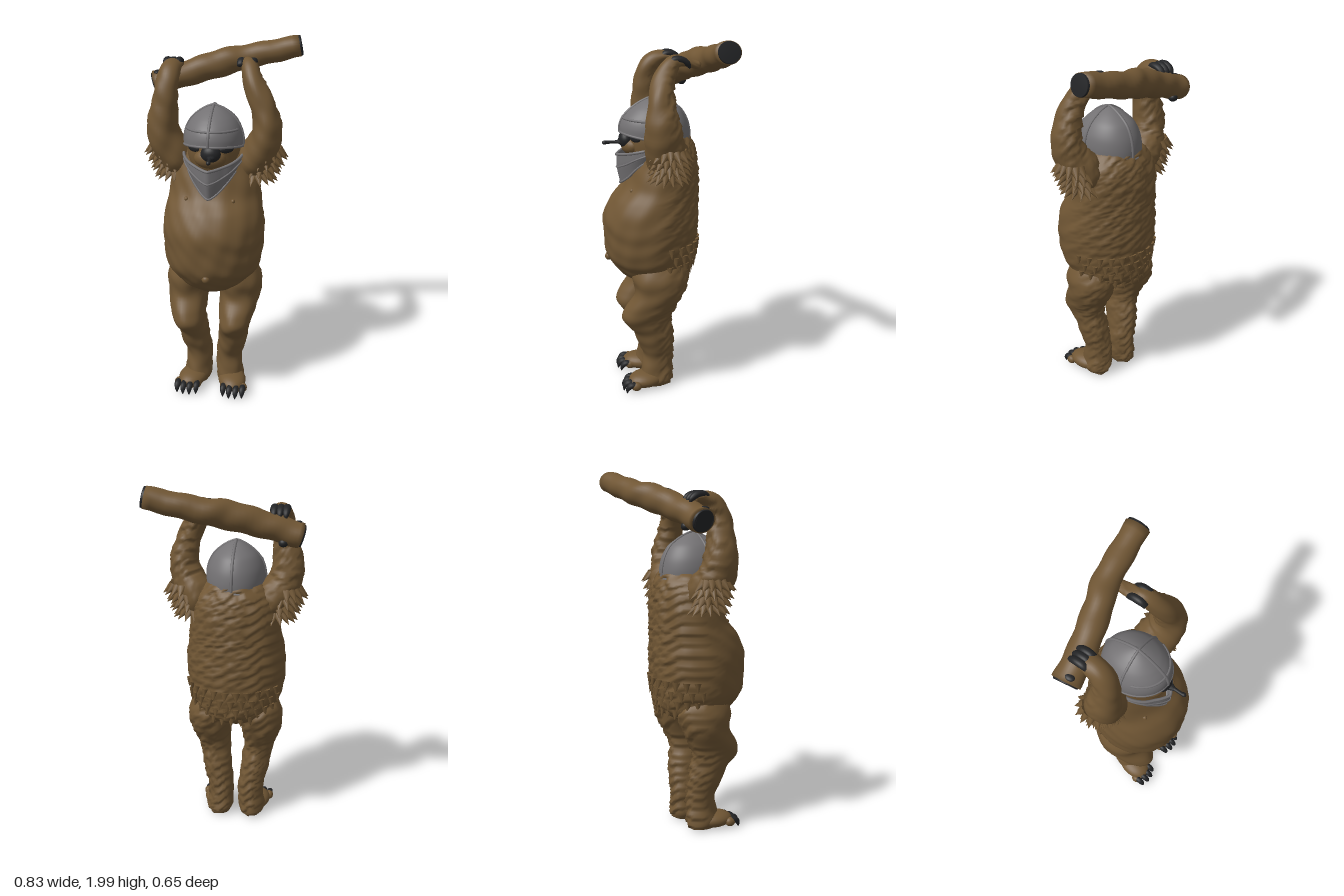
import * as THREE from 'three';

const V = (x, y, z) => new THREE.Vector3(x, y, z);
const MID = -0.035; // symmetry plane of the animal
const mirror = x => 2 * MID - x;

const mat = (name, color, side = THREE.FrontSide) => {
  const m = new THREE.MeshStandardMaterial({ color, side });
  m.name = name;
  return m;
};

// Smooth closed sweep through rings [x, y, z, radiusU, radiusV]; flat keeps rings level
function sweep(rings, { ref = V(1, 0, 0), flat = false, n = 32, steps = 5, rule } = {}) {
  const path = new THREE.CatmullRomCurve3(rings.map(r => V(r[0], r[1], r[2])), false, 'catmullrom');
  const size = new THREE.CatmullRomCurve3(rings.map(r => V(r[3], r[4], 0)), false, 'catmullrom');
  const rows = (rings.length - 1) * steps, pos = [], idx = [];
  for (let i = 0; i <= rows; i++) {
    const c = path.getPoint(i / rows), s = size.getPoint(i / rows);
    const t = flat ? V(0, 1, 0) : path.getTangent(i / rows);
    const u = ref.clone().addScaledVector(t, -ref.dot(t)).normalize();
    const v = t.clone().cross(u);
    for (let j = 0; j < n; j++) {
      const a = j / n * Math.PI * 2;
      const d = u.clone().multiplyScalar(Math.cos(a) * s.x).addScaledVector(v, Math.sin(a) * s.y);
      const p = c.clone().add(d);
      if (rule) rule(p, d.normalize());
      pos.push(p.x, p.y, p.z);
      if (i < rows) {
        const k = (j + 1) % n, A = i * n + j, B = i * n + k;
        idx.push(A, B, B + n, A, B + n, A + n);
      }
    }
  }
  [0, rows].forEach(i => { // end caps
    const c = path.getPoint(i / rows), o = pos.length / 3;
    if (rule) rule(c, V(0, 0, 0));
    pos.push(c.x, c.y, c.z);
    for (let j = 0; j < n; j++) {
      const A = i * n + j, B = i * n + (j + 1) % n;
      idx.push(...(i ? [o, A, B] : [o, B, A]));
    }
  });
  const g = new THREE.BufferGeometry();
  g.setAttribute('position', new THREE.Float32BufferAttribute(pos, 3));
  g.setIndex(idx);
  g.computeVertexNormals();
  return g;
}

// Shaggy surface: soft lumps everywhere, overlapping locks towards the back
function fur(p, d) {
  const lumps = Math.sin(p.x * 47 + p.y * 21) * Math.sin(p.y * 38 + p.z * 33) * 0.004;
  const lock = p.y * 17 + Math.sin(p.x * 45 + p.z * 30) * 0.5;
  const shag = (0.5 - (lock - Math.floor(lock))) * 0.016 * Math.max(0, 0.15 - d.z);
  p.addScaledVector(d, lumps + shag);
}

export function createModel() {
  const brown = mat('brown fur', 0x705634);
  const grey = mat('grey armour', 0x737173, THREE.DoubleSide);
  const black = mat('black claw', 0x232426);
  const model = new THREE.Group();
  model.name = 'armouredBearWithBranch';

  const add = (name, geo, m) => {
    const mesh = new THREE.Mesh(geo, m);
    mesh.name = name;
    model.add(mesh);
    return mesh;
  };
  const ball = (name, m, p, r, ry = 0) => {
    const b = add(name, new THREE.SphereGeometry(1, 24, 16), m);
    b.position.set(...p);
    b.scale.set(...r);
    b.rotation.y = ry;
  };
  const cone = (name, m, p, dir, r, len, thin = 1) => {
    const c = add(name, new THREE.ConeGeometry(r, len, 8).translate(0, len / 2, 0), m);
    c.position.copy(p);
    c.quaternion.setFromUnitVectors(V(0, 1, 0), dir.normalize());
    c.scale.z = thin;
  };

  // Torso with round belly
  add('torso', sweep([
    [MID, 0.61, 0.05, 0.04, 0.05], [MID, 0.66, 0.045, 0.14, 0.15], [MID, 0.71, 0.04, 0.21, 0.21],
    [MID, 0.8, 0.06, 0.258, 0.25], [MID, 0.92, 0.062, 0.275, 0.26], [MID, 1.02, 0.06, 0.277, 0.262],
    [MID, 1.12, 0.038, 0.264, 0.238], [MID, 1.2, 0.004, 0.252, 0.204], [MID, 1.3, -0.015, 0.24, 0.182],
    [MID, 1.38, -0.025, 0.215, 0.16], [MID, 1.45, -0.025, 0.16, 0.13], [MID, 1.5, -0.02, 0.08, 0.08],
  ], { flat: true, n: 72, steps: 8, rule: fur }), brown);
  ball('navel', brown, [MID, 0.78, 0.3], [0.022, 0.022, 0.02]);
  [0.09, mirror(0.09)].forEach(x => ball('nipple', brown, [x, 1.19, 0.178], [0.012, 0.012, 0.014]));

  // Hanging locks over the rump
  for (let row = 0; row < 4; row++) for (let k = -5; k <= 5; k++) {
    const a = (k + (row % 2) / 2) * 0.24, s = [0.215, 0.237, 0.25, 0.258][row];
    const p = V(MID + Math.sin(a) * s, 0.72 + row * 0.055, 0.05 - Math.cos(a) * (s - 0.012));
    cone('rumpLock', brown, p, V(Math.sin(a) * 0.25, -1, -Math.cos(a) * 0.25), 0.026, 0.055, 0.7);
  }

  // Legs, feet and claws, mirrored
  [1, -1].forEach(side => {
    const X = x => side > 0 ? x : mirror(x);
    add('leg', sweep([
      [X(-0.155), 0.8, 0.03, 0.1, 0.13], [X(-0.172), 0.7, 0.03, 0.13, 0.155], [X(-0.182), 0.6, 0.035, 0.115, 0.135],
      [X(-0.175), 0.51, 0.085, 0.1, 0.14], [X(-0.165), 0.44, 0.105, 0.087, 0.138], [X(-0.15), 0.36, 0.068, 0.083, 0.112],
      [X(-0.14), 0.28, 0.05, 0.08, 0.1], [X(-0.125), 0.2, 0.035, 0.074, 0.085], [X(-0.125), 0.12, 0.04, 0.074, 0.09],
      [X(-0.13), 0.05, 0.045, 0.078, 0.095], [X(-0.13), 0.01, 0.045, 0.06, 0.08],
    ].reverse(), { flat: true, n: 40, steps: 6, rule: fur }), brown);
    ball('foot', brown, [X(-0.15), 0.052, 0.105], [0.08, 0.048, 0.11], -0.25 * side);
    for (let k = 0; k < 4; k++) {
      const x = X(-0.225 + k * 0.037), z = 0.165 + Math.sin((k + 0.5) * 0.8) * 0.025;
      ball('toe', brown, [x, 0.042, z], [0.023, 0.026, 0.03]);
      add('toeClaw', sweep([[x, 0.05, z, 0.017, 0.017], [x, 0.05, z + 0.03, 0.018, 0.018],
        [x, 0.03, z + 0.05, 0.013, 0.013], [x, 0.004, z + 0.055, 0.002, 0.002]], { n: 10 }), black);
    }
  });

  // Raised arms
  add('rightArm', sweep([
    [-0.16, 1.27, -0.02, 0.06, 0.07], [-0.24, 1.37, 0, 0.1, 0.11], [-0.3, 1.47, 0.03, 0.09, 0.1],
    [-0.315, 1.56, 0.04, 0.085, 0.09], [-0.3, 1.66, 0.045, 0.072, 0.075], [-0.288, 1.75, 0.045, 0.062, 0.062],
    [-0.28, 1.825, 0.01, 0.058, 0.052], [-0.275, 1.855, -0.05, 0.054, 0.033], [-0.27, 1.85, -0.11, 0.045, 0.022],
  ], { steps: 6, rule: fur }), brown);
  add('leftArm', sweep([
    [0.09, 1.27, -0.02, 0.06, 0.07], [0.17, 1.37, 0, 0.1, 0.11], [0.23, 1.47, 0.03, 0.088, 0.1],
    [0.247, 1.56, 0.04, 0.076, 0.09], [0.233, 1.64, 0.042, 0.07, 0.076], [0.203, 1.72, 0.04, 0.062, 0.064],
    [0.165, 1.8, 0.015, 0.053, 0.055], [0.14, 1.865, -0.03, 0.045, 0.04], [0.125, 1.87, -0.09, 0.04, 0.025],
    [0.115, 1.85, -0.17, 0.03, 0.02],
  ], { steps: 6, rule: fur }), brown);

  // Shaggy locks under the upper arms
  [1, -1].forEach(side => {
    for (let row = 0; row < 4; row++) for (let k = -4; k <= 4; k++) {
      const a = (k + (row % 2) * 0.5) * 0.42, c = 0.185 + row * 0.018;
      const d = V(side * Math.cos(a), 0, Math.sin(a));
      const p = V(side > 0 ? c : mirror(c), 1.3 + row * 0.043, -0.005).addScaledVector(d, 0.065);
      cone('armLock', brown, p, d.setY(-0.8), 0.028, 0.072, 0.8);
    }
  });

  // Black fingers gripping the branch
  [[-0.277, 1.872, -0.035], [0.125, 1.885, -0.005]].forEach(([x, y, z]) => {
    for (let k = -1; k <= 1; k++) {
      const fx = x + k * 0.031;
      add('finger', sweep([[fx, y - 0.015, z, 0.016, 0.01], [fx, y, z - 0.03, 0.021, 0.019],
        [fx, y - 0.002, z - 0.07, 0.021, 0.018], [fx, y - 0.022, z - 0.1, 0.015, 0.014],
        [fx, y - 0.045, z - 0.112, 0.003, 0.003]], { n: 12 }), black);
    }
  });

  // Branch with dark broken ends and a knot
  const Z = V(0, 0, 1);
  add('branch', sweep([
    [-0.385, 1.742, -0.115, 0.073, 0.066], [-0.23, 1.79, -0.135, 0.072, 0.068], [-0.03, 1.85, -0.188, 0.07, 0.074],
    [0.1, 1.878, -0.232, 0.068, 0.066], [0.38, 1.94, -0.26, 0.062, 0.058],
  ], { ref: Z, steps: 8, rule: (p, d) => p.addScaledVector(d, Math.sin(p.x * 31 + p.y * 40) * 0.003) }), brown);
  add('branchEnd', sweep([[0.376, 1.94, -0.26, 0.06, 0.056], [0.39, 1.943, -0.261, 0.057, 0.053]], { ref: Z }), black);
  add('branchEnd', sweep([[-0.393, 1.74, -0.114, 0.062, 0.056], [-0.38, 1.744, -0.116, 0.069, 0.062]], { ref: Z }), black);
  ball('knot', black, [-0.3, 1.715, -0.165], [0.025, 0.022, 0.025]);
  ball('barkScar', black, [-0.37, 1.803, -0.1], [0.02, 0.012, 0.028]);

  // Head, snout, nose and eyes
  ball('head', brown, [MID, 1.44, 0.03], [0.145, 0.19, 0.162]);
  ball('snout', brown, [MID, 1.415, 0.16], [0.085, 0.055, 0.06]);
  ball('nose', black, [-0.025, 1.448, 0.195], [0.053, 0.048, 0.04]);
  cone('noseBase', black, V(-0.02, 1.437, 0.215), V(0, 0, 1), 0.028, 0.07, 0.6);
  const rod = add('noseRod', new THREE.CylinderGeometry(0.009, 0.009, 0.1, 10).rotateX(Math.PI / 2), black);
  rod.position.set(-0.018, 1.436, 0.265);
  ball('noseRodTip', black, [-0.016, 1.435, 0.31], [0.012, 0.011, 0.014]);
  [1, -1].forEach(s => ball('eyePatch', black, [MID + s * 0.087, 1.465, 0.155], [0.04, 0.02, 0.014], s * 0.6));

  // Helmet: pointed dome whose brim rises at the front
  const dome = [[1.45, 0.16], [1.5, 0.158], [1.55, 0.146], [1.6, 0.118], [1.635, 0.08], [1.66, 0.04], [1.673, 0.006]];
  const brim = p => { p.y += THREE.MathUtils.clamp((1.6 - p.y) / 0.15, 0, 1) * p.z * 0.17; };
  add('helmet', sweep(dome.map(([y, r]) => [MID, y, 0.035, r, r * 1.2]), { flat: true, n: 64, rule: brim }), grey);

  // Raised ribs on the helmet
  const rib = (name, pts, r = 0.007) => {
    pts.forEach(brim);
    add(name, new THREE.TubeGeometry(new THREE.CatmullRomCurve3(pts), 64, r, 8), grey);
  };
  const upOver = f => [...dome.map(([y, r]) => f(y, r, 1)), ...dome.map(([y, r]) => f(y, r, -1)).reverse()];
  rib('helmetCrest', upOver((y, r, s) => V(MID, y, 0.035 + s * r * 1.2)), 0.008);
  rib('helmetCrossRib', upOver((y, r, s) => V(MID + s * r, y, 0.045)));
  const around = (y, r, a0, a1) => Array.from({ length: 25 }, (_, i) => {
    const a = a0 + (a1 - a0) * i / 24;
    return V(MID + Math.sin(a) * r, y, 0.035 + Math.cos(a) * r * 1.2);
  });
  rib('helmetBrim', around(1.452, 0.158, 0, Math.PI * 2));
  rib('helmetBrowRib', around(1.553, 0.144, -1.2, 1.2));

  // Pointed chin guard wrapped round the lower face
  const chinPoint = (u, v) => {
    const a = u * 1.75, s = Math.abs(Math.sin(a));
    const low = 1.208 + 0.155 * Math.pow(s, 1.5) + Math.max(0, Math.abs(u) - 0.9) * 0.3;
    const high = 1.365 + 0.075 * Math.pow(Math.abs(u), 1.3);
    const r = 0.9 + 0.1 * Math.min(1, v * 1.8);
    return V(MID + Math.sin(a) * 0.163 * r, low + (high - low) * v,
      0.035 + Math.cos(a) * 0.183 * r + 0.028 * Math.max(0, 1 - s * 2.2));
  };
  const guard = new THREE.PlaneGeometry(2, 1, 48, 10), gp = guard.attributes.position;
  for (let i = 0; i < gp.count; i++) {
    const p = chinPoint(gp.getX(i), gp.getY(i) + 0.5);
    gp.setXYZ(i, p.x, p.y, p.z);
  }
  guard.computeVertexNormals();
  add('chinGuard', guard, grey);
  [[1, 0.008], [0.55, 0.005], [0, 0.006]].forEach(([v, r]) => {
    const pts = Array.from({ length: 33 }, (_, i) => chinPoint(i / 16 - 1, v));
    add('chinGuardRim', new THREE.TubeGeometry(new THREE.CatmullRomCurve3(pts), 64, r, 8), grey);
  });

  return model;
}
